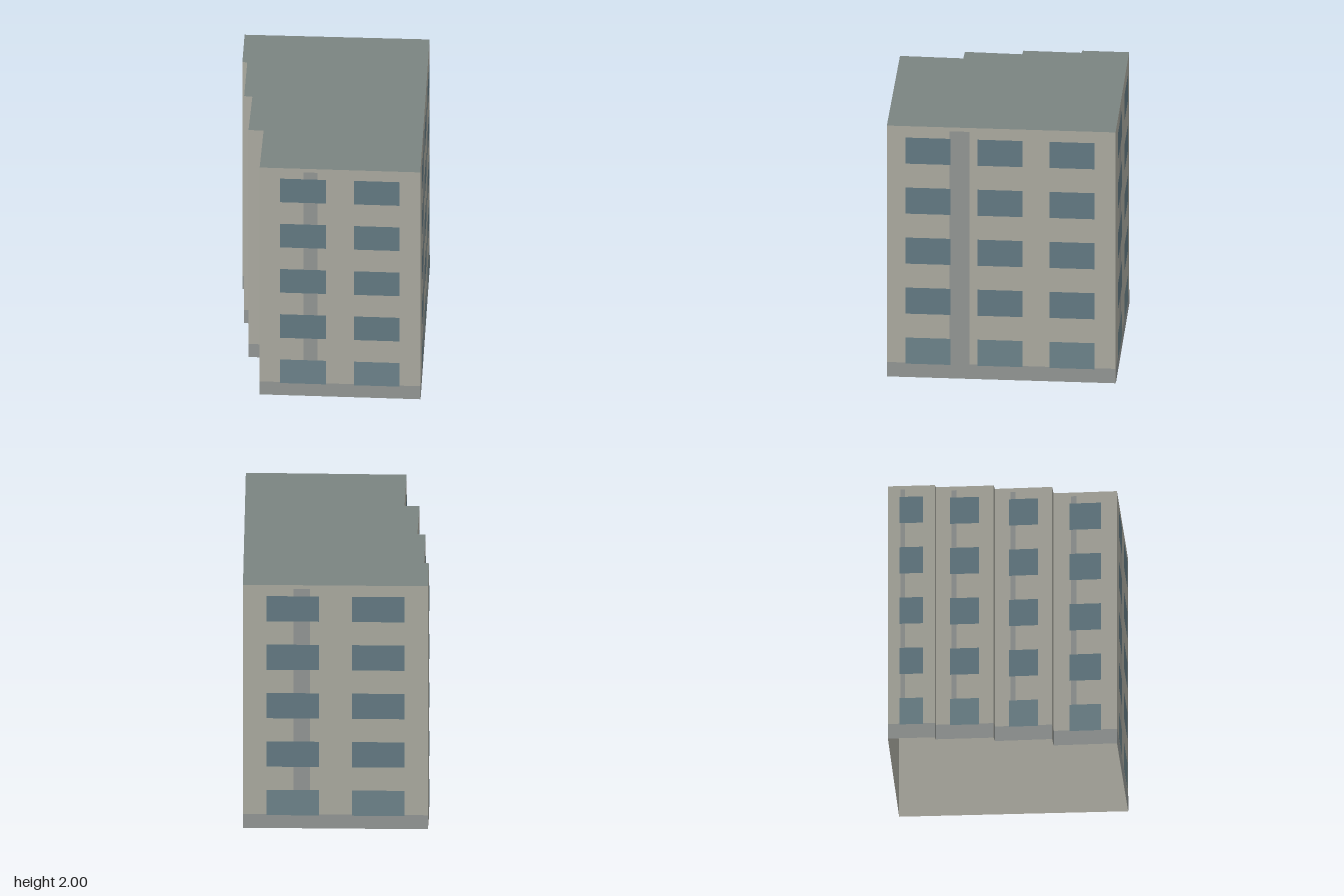
import * as THREE from 'three';

const HEIGHT = 2;
const FLOORS = 5;
const FLOOR_STEP = 0.4;

// Footprint corners [x, z], running left to right as seen from outside
const FOOTPRINT = [
  [-0.671, 0.734], [0.472, 0.908], [0.70, -0.724], [-0.617, -0.913],
  [-0.666, -0.579], [-0.632, -0.569], [-0.695, -0.157], [-0.637, -0.143],
  [-0.705, 0.264], [-0.598, 0.283],
];

const paint = (color, side = THREE.FrontSide) =>
  new THREE.MeshStandardMaterial({ color, side });

const MATERIALS = {
  wall: paint(0xaeada3, THREE.DoubleSide),
  roof: paint(0x7b8481, THREE.DoubleSide),
  trim: paint(0x959997),
  glass: paint(0x657c85),
  groundGlass: paint(0x6f858d),
};

// Window columns as [centre, width] fractions of the facade length
function windowColumns(length) {
  if (length > 1.45) return [[0.18, 0.196], [0.495, 0.196], [0.81, 0.196]];
  if (length > 1) return [[0.27, 0.284], [0.73, 0.284]];
  return [[0.5, 0.5]];
}

// One facade: local x runs along the wall from its left corner, z points outward
function createFacade([x0, z0], [x1, z1]) {
  const facade = new THREE.Group();
  facade.name = 'facade';
  facade.position.set(x0, 0, z0);
  facade.rotation.y = Math.atan2(z0 - z1, x1 - x0);
  const length = Math.hypot(x1 - x0, z1 - z0);

  const panel = (name, material, centre, width, bottom, top, offset) => {
    const mesh = new THREE.Mesh(
      new THREE.PlaneGeometry(width * length, top - bottom), material);
    mesh.name = name;
    mesh.position.set(centre * length, (bottom + top) / 2, offset);
    facade.add(mesh);
  };

  panel('wall', MATERIALS.wall, 0.5, 1, 0, HEIGHT, 0);
  panel('plinth', MATERIALS.trim, 0.5, 1, 0, 0.115, 0.002);
  if (length < 0.2) return facade; // short return walls stay blank

  // Vertical band, passing behind the windows
  panel('verticalBand', MATERIALS.trim, 0.317, 0.088, 0.115, 1.97, 0.002);

  for (let floor = 0; floor < FLOORS; floor++) {
    const bottom = 0.108 + floor * FLOOR_STEP * 0.997;
    const glass = floor === 0 ? MATERIALS.groundGlass : MATERIALS.glass;
    for (const [centre, width] of windowColumns(length)) {
      panel('window', glass, centre, width, bottom, bottom + 0.208, 0.005);
    }
  }
  return facade;
}

export function createModel() {
  const building = new THREE.Group();
  building.name = 'apartmentBlock';

  FOOTPRINT.forEach((corner, i) => {
    building.add(createFacade(corner, FOOTPRINT[(i + 1) % FOOTPRINT.length]));
  });

  // Flat roof; the underside of the building is open
  const outline = new THREE.Shape(FOOTPRINT.map(([x, z]) => new THREE.Vector2(x, -z)));
  const roof = new THREE.Mesh(
    new THREE.ShapeGeometry(outline).rotateX(-Math.PI / 2), MATERIALS.roof);
  roof.name = 'roof';
  roof.position.y = HEIGHT;
  building.add(roof);

  return building;
}
